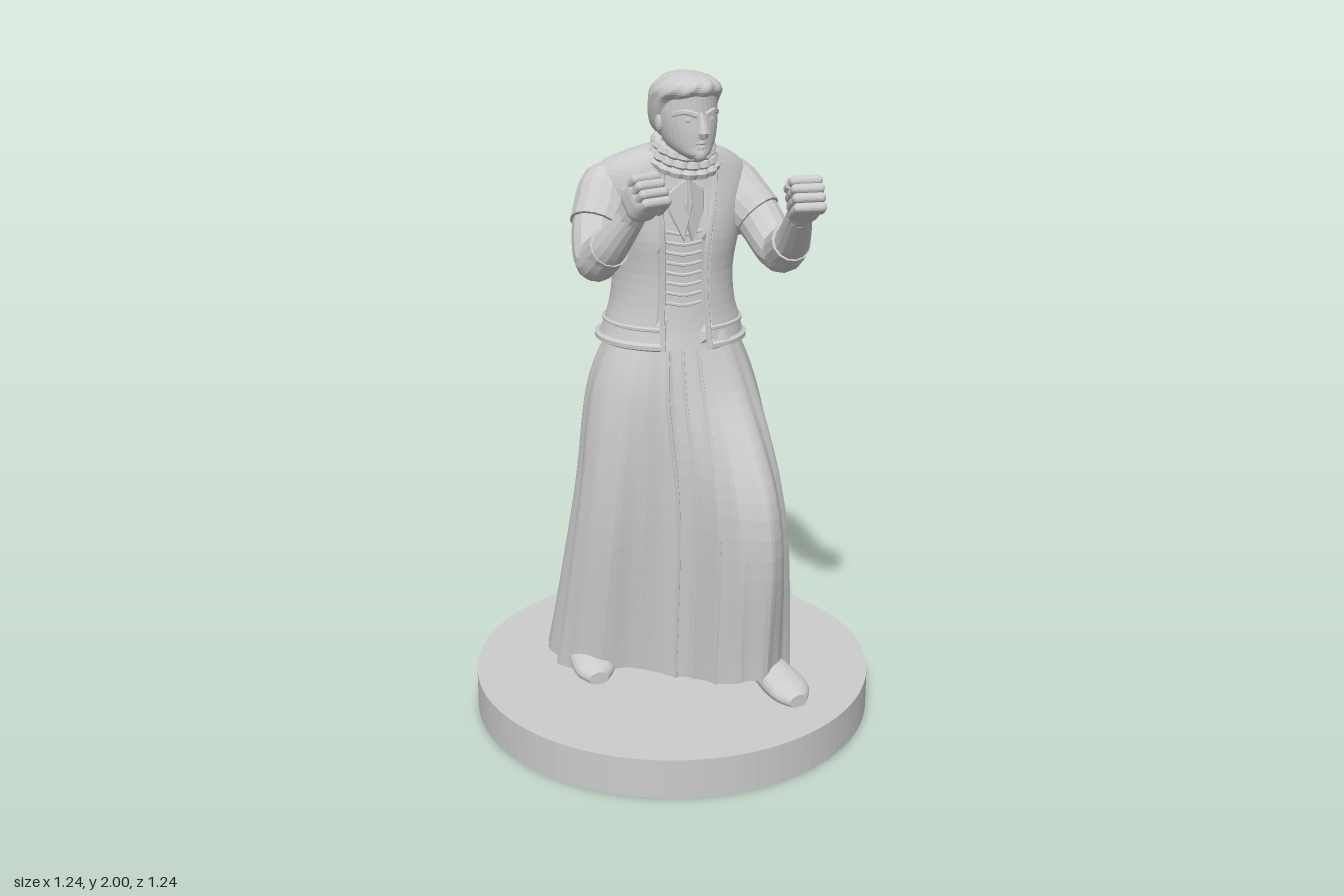
import * as THREE from 'three';
import { RoundedBoxGeometry } from 'three/addons/geometries/RoundedBoxGeometry.js';

const V = (x, y, z) => new THREE.Vector3(x, y, z);
const curve = (pts, closed = false) => new THREE.CatmullRomCurve3(pts, closed);
const material = new THREE.MeshStandardMaterial({ color: 0xcccccc, flatShading: true, side: THREE.DoubleSide });

function add(parent, name, geometry, x = 0, y = 0, z = 0) {
  const mesh = new THREE.Mesh(geometry, material);
  mesh.name = name;
  mesh.position.set(x, y, z);
  parent.add(mesh);
  return mesh;
}

// Smooth a stack of closed rings into columns of points
function grid(rings, cols, rows) {
  const dense = rings.map(r => curve(r, true).getPoints(cols).slice(0, cols));
  return dense[0].map((_, j) => curve(dense.map(r => r[j])).getPoints(rows));
}

// Capped surface over columns of points
function skin(columns) {
  const n = columns.length, m = columns[0].length, pos = [], idx = [];
  const ends = [V(0, 0, 0), V(0, 0, 0)];
  for (const c of columns) {
    c.forEach(p => pos.push(p.x, p.y, p.z));
    ends[0].addScaledVector(c[0], 1 / n);
    ends[1].addScaledVector(c[m - 1], 1 / n);
  }
  ends.forEach(p => pos.push(p.x, p.y, p.z));
  for (let j = 0; j < n; j++) {
    const a = j * m, b = ((j + 1) % n) * m;
    for (let i = 0; i < m - 1; i++) idx.push(a + i, a + i + 1, b + i, b + i, a + i + 1, b + i + 1);
    idx.push(n * m, a, b, n * m + 1, b + m - 1, a + m - 1);
  }
  const g = new THREE.BufferGeometry();
  g.setAttribute('position', new THREE.Float32BufferAttribute(pos, 3));
  g.setIndex(idx);
  g.computeVertexNormals();
  return g;
}

// Horizontal ellipse rows: [y, cx, cz, rx, rz], skewed so one side leads
const onEllipse = ([y, cx, cz, rx, rz], a, skew = 0, grow = 0) => {
  const x = cx + (rx + grow) * Math.cos(a);
  return V(x, y, cz + (rz + grow) * Math.sin(a) + skew * x);
};
const ellipseRing = (row, skew) =>
  Array.from({ length: 16 }, (_, i) => onEllipse(row, i / 8 * Math.PI, skew));

// Round limb with a radius at each path point
function limb(pts, radii, sides = 14, steps = 18) {
  const path = curve(pts), columns = Array.from({ length: sides }, () => []);
  for (let i = 0; i <= steps; i++) {
    const t = i / steps, p = path.getPoint(t), T = path.getTangent(t);
    const N = T.clone().cross(V(1, 0, 0)).normalize(), B = T.clone().cross(N);
    const k = t * (radii.length - 1), k0 = Math.min(Math.floor(k), radii.length - 2);
    const r = THREE.MathUtils.lerp(radii[k0], radii[k0 + 1], k - k0);
    columns.forEach((c, j) => {
      const a = j / sides * 2 * Math.PI;
      c.push(p.clone().addScaledVector(N, r * Math.cos(a)).addScaledVector(B, -r * Math.sin(a)));
    });
  }
  return skin(columns);
}
const tube = (pts, r, closed = false, n = 40) => new THREE.TubeGeometry(curve(pts, closed), n, r, 6, closed);

// Skirt contours as [x, z], from the left side round by the front
const HEM = [[.34, .03], [.325, .16], [.275, .26], [.2, .315], [.11, .32], [.035, .25], [-.04, .12], [-.16, .05],
  [-.28, .01], [-.335, -.08], [-.34, -.18], [-.3, -.31], [-.2, -.385], [-.04, -.35], [.13, -.29], [.28, -.165]];
const KNEE = [[.295, .05], [.275, .18], [.235, .29], [.175, .365], [.095, .345], [.035, .27], [-.045, .15], [-.155, .115],
  [-.245, .08], [-.285, 0], [-.28, -.09], [-.23, -.18], [-.13, -.21], [0, -.2], [.13, -.165], [.25, -.07]];
const HIP = [[.255, .01], [.232, .1], [.185, .17], [.13, .2], [.08, .19], [.03, .165], [-.07, .13], [-.14, .115],
  [-.2, .08], [-.24, 0], [-.235, -.08], [-.19, -.17], [-.1, -.222], [.02, -.227], [.13, -.19], [.22, -.1]];

function buildSkirt(g) {
  const lift = (x, z) => .127 + .045 * THREE.MathUtils.smoothstep(z, .18, .31) +
    (x < -.1 ? .02 * THREE.MathUtils.smoothstep(z, -.06, .02) : 0);
  const columns = grid([
    HEM.map(([x, z]) => V(x, lift(x, z), z)),
    KNEE.map(([x, z]) => V(x, .72, z)),
    HIP.map(([x, z]) => V(x, 1.07, z)),
    HIP.map(([x, z]) => V(x * .72, 1.25, z * .72)),
  ], 96, 24);
  // Uneven folds deepen towards the hem; the front panel sits back
  columns.forEach((c, j) => c.forEach((p, i) => {
    const a = j / 48 * Math.PI, depth = .017 * (1 - i / 24) + .003;
    const fold = Math.sin(a * 11 + i * .05) + .7 * Math.sin(a * 19 + 1);
    const s = 1 + depth * fold - (j > 30 && j < 36 ? .05 : 0);
    p.x *= s;
    p.z *= s;
  }));
  add(g, 'skirt', skin(columns));
  for (const j of [30, 36]) add(g, 'skirtTrim', tube(columns[j], .007));
  add(g, 'panelPleat', tube(columns[33], .006));
}

const TORSO = [[1.2, .005, -.025, .213, .183], [1.25, .01, -.025, .2, .173], [1.32, .01, -.025, .18, .166],
  [1.42, .01, -.025, .174, .163], [1.52, .01, -.025, .192, .168], [1.6, .01, -.035, .215, .168],
  [1.67, .005, -.035, .235, .152], [1.72, .005, -.024, .212, .132], [1.76, .01, 0, .15, .103],
  [1.785, .01, .025, .08, .08]];
const SKEW = .12;

// Point on the chest at a given x and y
function onChest(x, y, out = .003) {
  let k = 0;
  while (k < TORSO.length - 2 && TORSO[k + 1][0] < y) k++;
  const f = (y - TORSO[k][0]) / (TORSO[k + 1][0] - TORSO[k][0]);
  const [, cx, cz, rx, rz] = TORSO[k].map((v, i) => THREE.MathUtils.lerp(v, TORSO[k + 1][i], f));
  return V(x, y, cz + rz * Math.sqrt(Math.max(0, 1 - ((x - cx) / rx) ** 2)) + SKEW * x + out);
}

function buildTorso(g) {
  const columns = grid(TORSO.map(r => ellipseRing(r, SKEW)), 64, 27);
  // Open jacket front shows the recessed bodice; the spine makes a shallow groove
  columns.flat().forEach(p => {
    if (p.z > 0 && p.x > -.08 && p.x < .048 && p.y < 1.66) p.z -= .012;
    if (p.z < 0) p.z += .012 * Math.exp(-((p.x / .03) ** 2) - ((p.y - 1.5) / .12) ** 2);
  });
  add(g, 'jacket', skin(columns));
  const left = [[.052, 1.2], [.048, 1.3], [.045, 1.42], [.055, 1.55], [.075, 1.64], [.085, 1.72]];
  const right = [[-.085, 1.2], [-.08, 1.3], [-.075, 1.42], [-.08, 1.55], [-.08, 1.64], [-.07, 1.72]];
  for (const edge of [left, right]) add(g, 'jacketEdge', tube(edge.map(([x, y]) => onChest(x, y)), .009));
  // Doubled hem of the jacket
  for (const [row, r] of [[TORSO[0], .012], [TORSO[1], .007]]) {
    const pts = Array.from({ length: 33 }, (_, i) =>
      onEllipse(row, THREE.MathUtils.degToRad(115 + i / 32 * 323), SKEW, -.002));
    add(g, 'jacketHem', tube(pts.map(p => p.setY(p.y + .01)), r, false, 64));
  }
  // Bodice lacing
  for (let y = 1.34; y < 1.56; y += .03)
    add(g, 'lacing', tube([-.066, -.015, .036].map((x, i) => onChest(x, y + (i === 1 ? -.008 : 0), -.01)), .005, false, 8));
  // Neck, ruffled collar and neckcloth
  add(g, 'neck', limb([V(.01, 1.7, .02), V(.01, 1.76, .055), V(.01, 1.83, .075)], [.085, .068, .06]));
  for (let k = 0; k < 3; k++) {
    const pts = Array.from({ length: 60 }, (_, i) => {
      const a = i / 60 * 2 * Math.PI, r = .088 - .006 * k + .005 * Math.sin(a * 15 + k * 2);
      return V(.01 + r * Math.cos(a), 1.745 + .023 * k - .03 * Math.sin(a), .06 + r * Math.sin(a));
    });
    add(g, 'collarRuffle', tube(pts, .0155, true, 120));
  }
  for (const s of [-1, 1]) {
    const tail = new THREE.Shape([[-.008 * s, .01], [.05 * s, -.035], [.048 * s, -.09], [.012 * s, -.17], [-.012 * s, -.07]]
      .map(p => new THREE.Vector2(...p)));
    const cloth = add(g, 'neckcloth', new THREE.ExtrudeGeometry(tail,
      { depth: .012, bevelSize: .004, bevelThickness: .004, bevelSegments: 1 }), -.012, 1.7, .13);
    cloth.rotation.set(-.06, s * .25, 0);
  }
}

function buildFist(g, centre, direction, side) {
  const fist = new THREE.Group();
  fist.name = 'fist';
  fist.position.copy(centre);
  fist.lookAt(centre.clone().add(direction));
  g.add(fist);
  add(fist, 'palm', new RoundedBoxGeometry(.09, .106, .1, 3, .035), 0, 0, -.012);
  for (let i = 0; i < 4; i++) {
    const y = .038 - i * .026, len = [.046, .056, .052, .042][i];
    add(fist, 'finger', new RoundedBoxGeometry(.094, .028, len, 2, .0135), -side * .004, y, .03);
    add(fist, 'fingertip', new RoundedBoxGeometry(.03, .025, .06, 2, .012), -side * .038, y, .005);
  }
  add(fist, 'thumb', limb([V(side * .01, .04, -.045), V(-side * .022, .051, -.01), V(-side * .046, .034, .03)],
    [.022, .02, .014], 8, 8));
}

function buildArm(g, side, pts, fist) {
  const arm = new THREE.Group();
  arm.name = side > 0 ? 'leftArm' : 'rightArm';
  g.add(arm);
  add(arm, 'armAndForearm', limb(pts, [.076, .07, .06, .054, .036], 14, 24));
  const [a, b, c, d, e] = pts;
  // Short cap sleeve running out of the shoulder, and rolled cuff
  add(arm, 'capSleeve', limb([a.clone().add(V(-side * .09, .022, -.025)), a.clone().add(V(0, .01, -.005)),
    b.clone().lerp(a, .35), b.clone().lerp(c, .05)], [.06, .08, .083, .079], 16, 12));
  add(arm, 'cuff', limb([c.clone().lerp(d, .3), d.clone().lerp(e, .08)], [.062, .059], 14, 3));
  add(arm, 'wrist', limb([e.clone().lerp(d, .1), fist], [.037, .038], 10, 3));
  buildFist(arm, fist, fist.clone().sub(e).normalize().add(V(0, -.1, .15)), side);
}

function buildHead(g) {
  const head = new THREE.Group();
  head.name = 'head';
  g.add(head);
  const face = [[1.762, .01, .13, .025, .04], [1.775, .01, .117, .045, .072], [1.8, .01, .1, .066, .088],
    [1.84, .01, .085, .079, .104], [1.88, .01, .08, .084, .106], [1.95, .01, .075, .08, .11]];
  add(head, 'face', skin(grid(face.map(r => ellipseRing(r)), 32, 18)));
  const hair = [[1.805, .01, .02, .05, .04], [1.84, .01, .035, .083, .072], [1.88, .01, .045, .096, .084],
    [1.92, .01, .058, .101, .098], [1.95, .01, .08, .097, .117], [1.972, .01, .088, .08, .108],
    [1.99, .01, .083, .05, .073], [1.998, .01, .08, .015, .02]];
  const locks = grid(hair.map(r => ellipseRing(r)), 48, 24);
  locks.forEach((c, j) => c.forEach((p, i) => {
    const s = 1 + .025 * Math.sin(j / 48 * 22 * Math.PI + i * .35);
    p.x = .01 + (p.x - .01) * s;
    p.z = .07 + (p.z - .07) * s;
  }));
  add(head, 'hair', skin(locks));
  add(head, 'nose', limb([V(.01, 1.893, .18), V(.01, 1.865, .192), V(.01, 1.838, .2), V(.01, 1.828, .188)],
    [.008, .011, .017, .008], 8, 8));
  add(head, 'upperLip', tube([V(-.016, 1.808, .173), V(.01, 1.812, .189), V(.036, 1.808, .173)], .005, false, 8));
  add(head, 'lowerLip', tube([V(-.012, 1.8, .172), V(.01, 1.798, .187), V(.032, 1.8, .172)], .006, false, 8));
  add(head, 'chin', new THREE.SphereGeometry(.022, 10, 8), .01, 1.778, .171);
  for (const s of [-1, 1]) {
    add(head, 'brow', tube([V(.01 + s * .012, 1.888, .184), V(.01 + s * .04, 1.897, .17), V(.01 + s * .066, 1.888, .138)], .009, false, 10));
    add(head, 'eye', new THREE.SphereGeometry(.01, 8, 6), .01 + s * .033, 1.874, .17);
    add(head, 'ear', new THREE.SphereGeometry(.024, 10, 8), .01 + s * .083, 1.858, .078).scale.set(.45, 1.1, .75);
  }
}

// Shoe lofted from heel to toe along z
function buildShoe(g, name, x, z, turn, length) {
  const rows = [[0, .035, .07], [.12, .052, .088], [.4, .055, .092], [.65, .066, .08], [.88, .06, .062], [1, .03, .04]];
  const rings = rows.map(([t, w, h]) => Array.from({ length: 12 }, (_, i) => {
    const a = i / 6 * Math.PI;
    return V(w * Math.cos(a), Math.max(0, h * (.45 - .55 * Math.sin(a))), (t - .5) * length);
  }));
  add(g, name, skin(grid(rings, 24, 15)), x, .125, z).rotation.y = turn;
}

export function createModel() {
  const model = new THREE.Group();
  model.name = 'fighterOnBase';
  add(model, 'base', new THREE.CylinderGeometry(.62, .62, .125, 96), 0, .0625, 0);
  buildShoe(model, 'leftShoe', .217, .285, .08, .31);
  buildShoe(model, 'rightShoe', -.26, -.08, -.1, .3);
  buildSkirt(model);
  buildTorso(model);
  buildArm(model, 1, [V(.18, 1.645, .01), V(.232, 1.57, .085), V(.248, 1.485, .215), V(.238, 1.53, .3), V(.203, 1.635, .415)],
    V(.19, 1.693, .472));
  buildArm(model, -1, [V(-.18, 1.645, -.05), V(-.236, 1.565, 0), V(-.27, 1.48, .085), V(-.262, 1.525, .155), V(-.22, 1.635, .245)],
    V(-.207, 1.695, .29));
  buildHead(model);
  return model;
}
